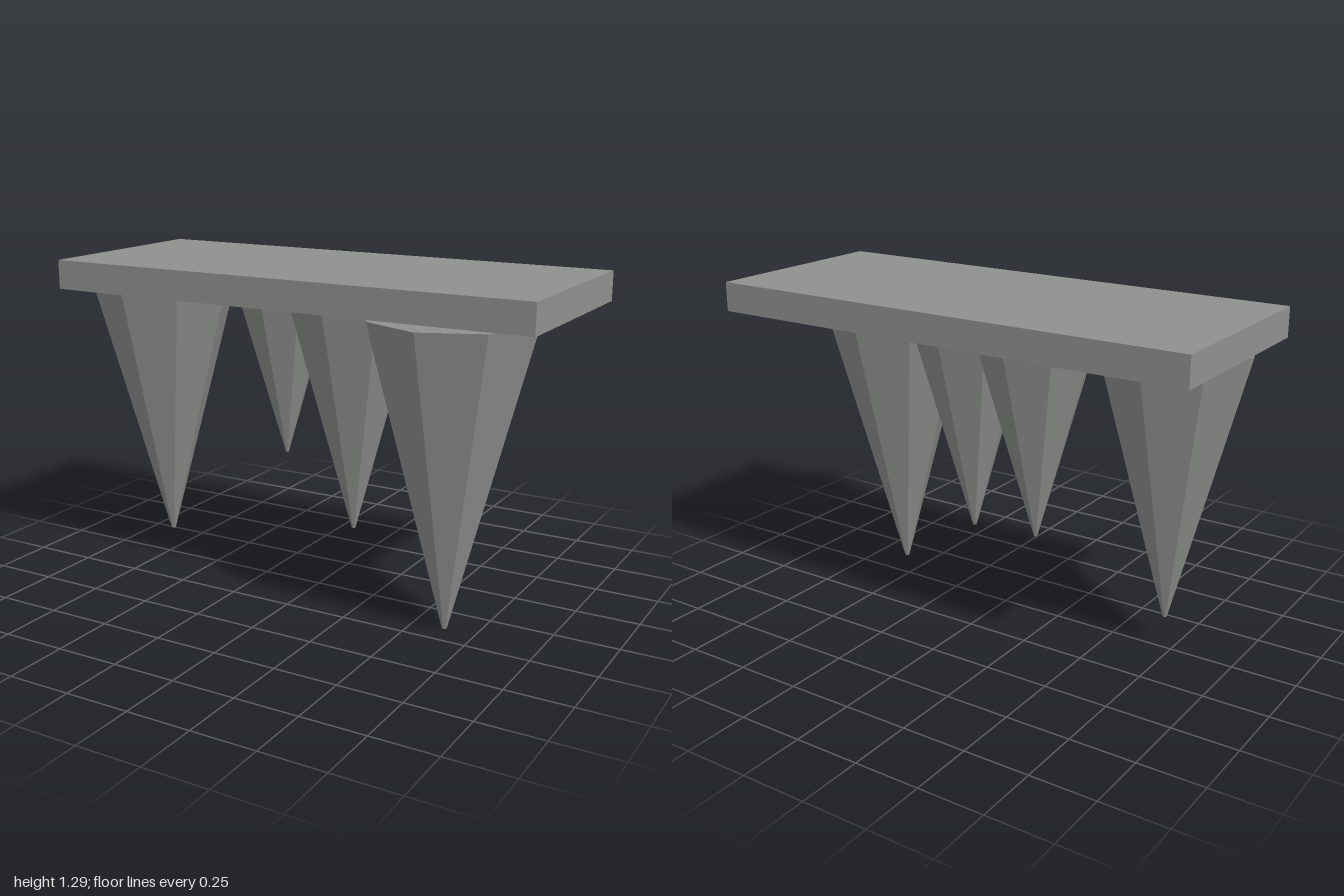
import * as THREE from 'three';

export function createModel() {
  const group = new THREE.Group();
  const stone = new THREE.MeshStandardMaterial({ color: 0x8f918f, flatShading: true });
  stone.name = 'grey stone';

  // Flat ceiling slab
  const slabBottom = 1.175, slabTop = 1.29;
  const slab = new THREE.Mesh(new THREE.BoxGeometry(1.99, slabTop - slabBottom, 0.81), stone);
  slab.name = 'ceilingSlab';
  slab.position.set(0.005, (slabBottom + slabTop) / 2, -0.06);
  group.add(slab);

  // Eight-sided hanging spikes: x, z, radius at the slab, height of the tip
  const spikes = [
    [-0.71, 0.02, 0.29, 0.12],
    [-0.3, -0.252, 0.215, 0.45],
    [0.18, 0.04, 0.255, 0.285],
    [0.625, 0.147, 0.32, 0],
  ];
  spikes.forEach(([x, z, radius, tip], i) => {
    const height = slabBottom - tip;
    const spike = new THREE.Mesh(new THREE.CylinderGeometry(radius, radius * 0.03, height, 8), stone);
    spike.name = `hangingSpike${i + 1}`;
    spike.position.set(x, tip + height / 2, z);
    group.add(spike);
  });

  return group;
}
